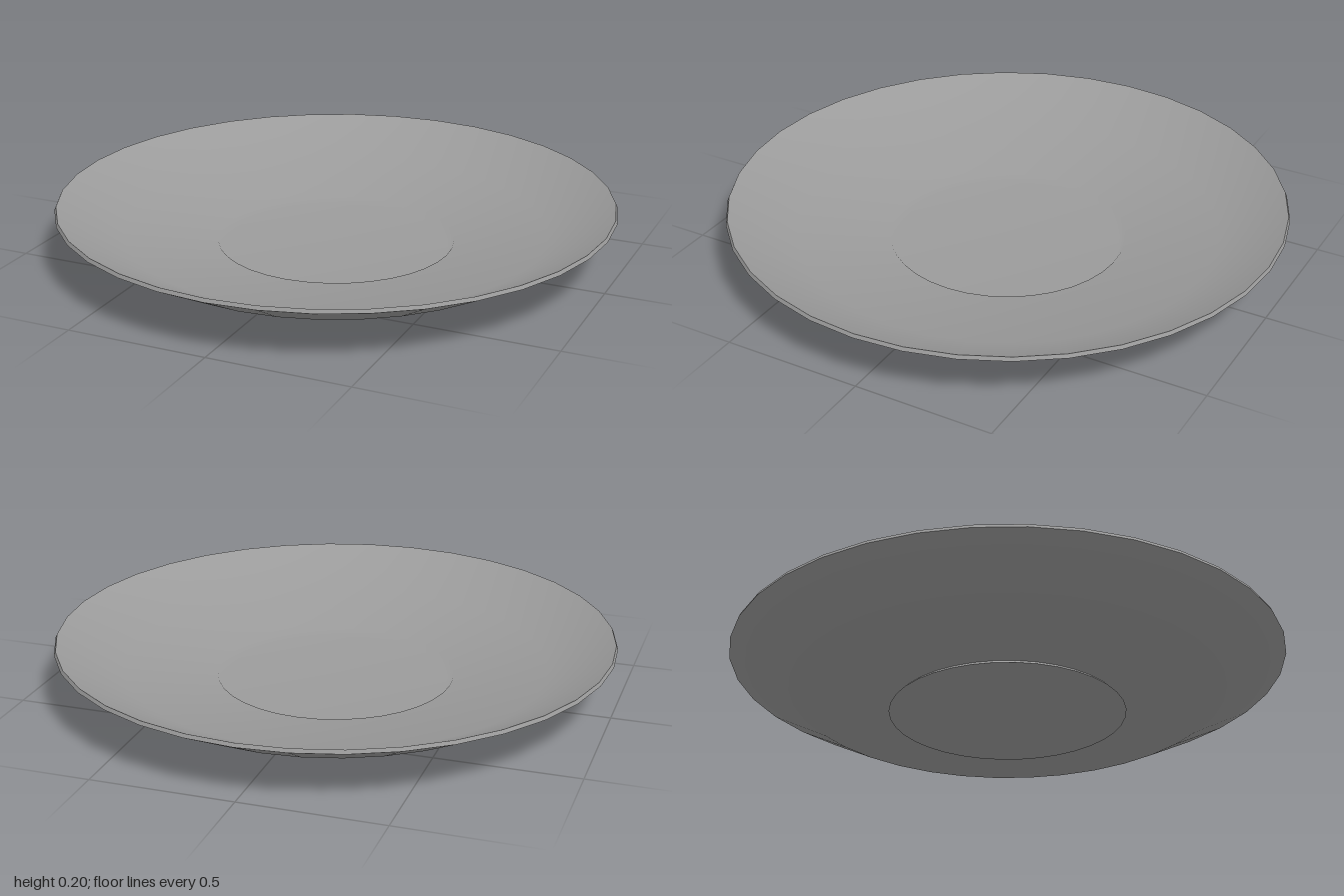
import * as THREE from 'three';

const SIDES = 36;

export function createModel() {
  const group = new THREE.Group();
  group.name = 'plate';
  const material = new THREE.MeshStandardMaterial({ color: 0x9b9b9b, side: THREE.DoubleSide });

  // Each band is turned on its own, so edges between bands stay sharp
  const turn = (name, profile) => {
    const points = profile.map(([r, y]) => new THREE.Vector2(r, y));
    const mesh = new THREE.Mesh(new THREE.LatheGeometry(points, SIDES), material);
    mesh.name = name;
    group.add(mesh);
  };

  // Slightly hollow base with a low, flared foot
  turn('base', [[0, 0.012], [0.36, 0.012], [0.425, 0]]);
  turn('footWall', [[0.425, 0], [0.41, 0.014]]);

  // Sloping underside and thin outer edge
  turn('underside', [[0.41, 0.014], [0.77, 0.064], [1, 0.187]]);
  turn('rimEdge', [[1, 0.187], [0.994, 0.2]]);

  // Eating surface, from the rim down the steep step into the shallow well
  turn('upperSurface', [[0.994, 0.2], [0.76, 0.087], [0.425, 0.045], [0.405, 0.021], [0, 0.021]]);

  return group;
}
